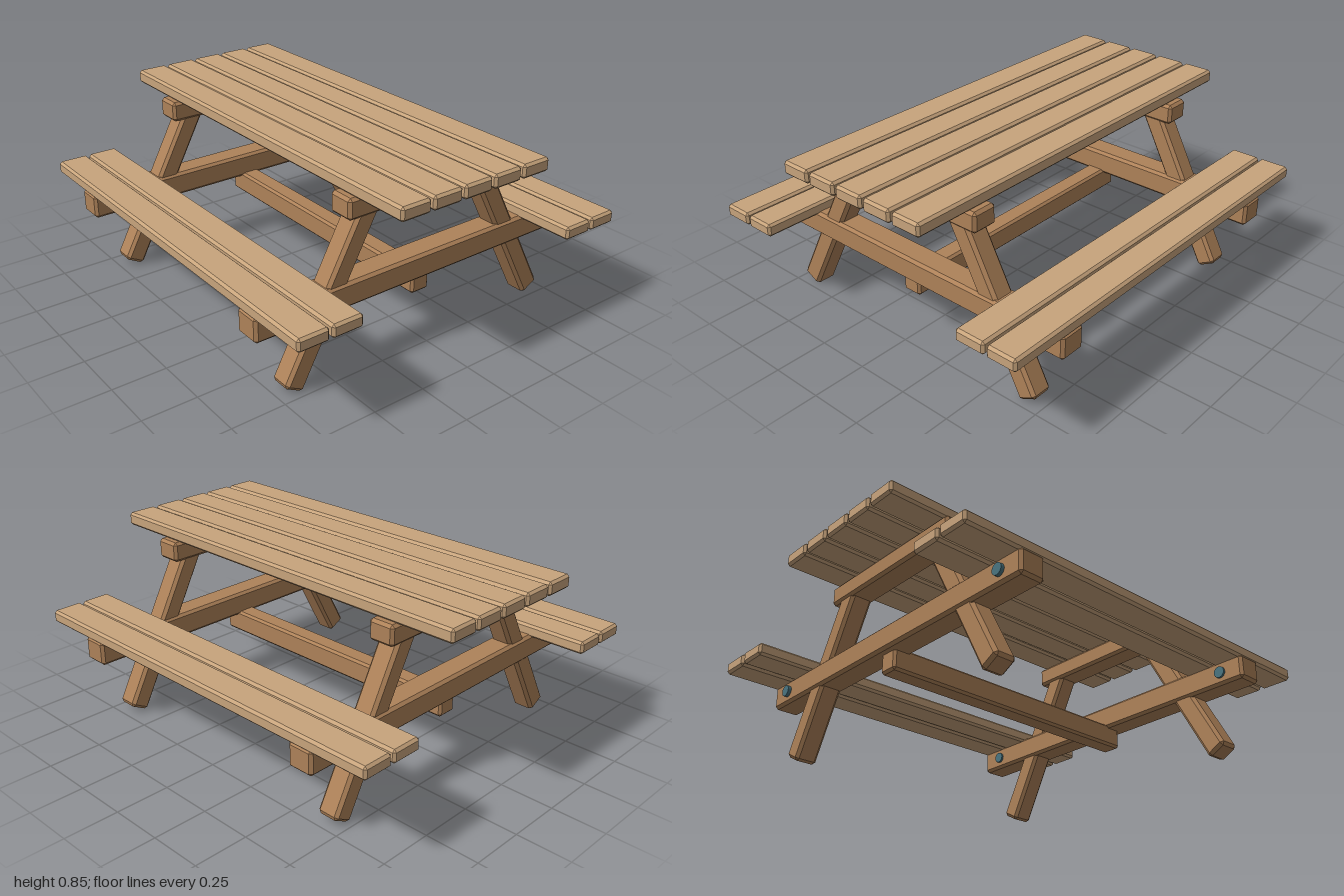
import * as THREE from 'three';
import { ConvexGeometry } from 'three/addons/geometries/ConvexGeometry.js';

const boardWood = new THREE.MeshStandardMaterial({ color: 0xc8a47c });
const frameWood = new THREE.MeshStandardMaterial({ color: 0xae8259 });
const metal = new THREE.MeshStandardMaterial({ color: 0x4a7480 });

// Box with chamfered edges
function chamferBox(w, h, d, c) {
  const points = [];
  for (const sx of [-1, 1]) for (const sy of [-1, 1]) for (const sz of [-1, 1]) {
    const x = w / 2, y = h / 2, z = d / 2;
    points.push(
      new THREE.Vector3(sx * x, sy * (y - c), sz * (z - c)),
      new THREE.Vector3(sx * (x - c), sy * y, sz * (z - c)),
      new THREE.Vector3(sx * (x - c), sy * (y - c), sz * z));
  }
  return new ConvexGeometry(points);
}

export function createModel() {
  const model = new THREE.Group();
  model.name = 'picnicTable';

  function add(name, geometry, material, x, y, z) {
    const mesh = new THREE.Mesh(geometry, material);
    mesh.name = name;
    mesh.position.set(x, y, z);
    model.add(mesh);
    return mesh;
  }

  // Table top: five planks
  const topPlank = chamferBox(2, 0.063, 0.148, 0.011);
  for (let i = -2; i <= 2; i++) add('tabletopPlank', topPlank, boardWood, 0, 0.817, i * 0.16);

  // Benches: two planks on each side
  const seatPlank = chamferBox(2, 0.06, 0.146, 0.011);
  for (const side of [-1, 1]) {
    for (const z of [0.634, 0.791]) add('seatPlank', seatPlank, boardWood, 0, 0.442, side * z);
  }

  // End frames: cross beams, splayed legs and bolts
  const topBeam = chamferBox(0.125, 0.095, 0.845, 0.013);
  const seatBeam = chamferBox(0.125, 0.115, 1.735, 0.013);
  const legFoot = new THREE.Vector2(0.683, 0.017);
  const legHead = new THREE.Vector2(0.285, 0.757);
  const legRun = legHead.clone().sub(legFoot);
  const leg = chamferBox(0.106, legRun.length(), 0.098, 0.014);
  const bolt = new THREE.CylinderGeometry(0.027, 0.027, 0.152, 16);
  for (const x of [-0.67, 0.67]) {
    add('topBeam', topBeam, frameWood, x, 0.74, 0);
    add('seatBeam', seatBeam, frameWood, x, 0.368, 0);
    for (const side of [-1, 1]) {
      const y = (legFoot.y + legHead.y) / 2, z = (legFoot.x + legHead.x) / 2;
      add('leg', leg, frameWood, x, y, side * z).rotation.x = side * Math.atan2(legRun.x, legRun.y);
      add('bolt', bolt, metal, x + Math.sign(x) * 0.003, 0.368, side * 0.75).rotation.z = Math.PI / 2;
    }
  }

  // Lengthwise stretcher under the seat beams
  add('stretcher', chamferBox(1.39, 0.107, 0.096, 0.011), frameWood, 0, 0.275, 0);
  return model;
}
